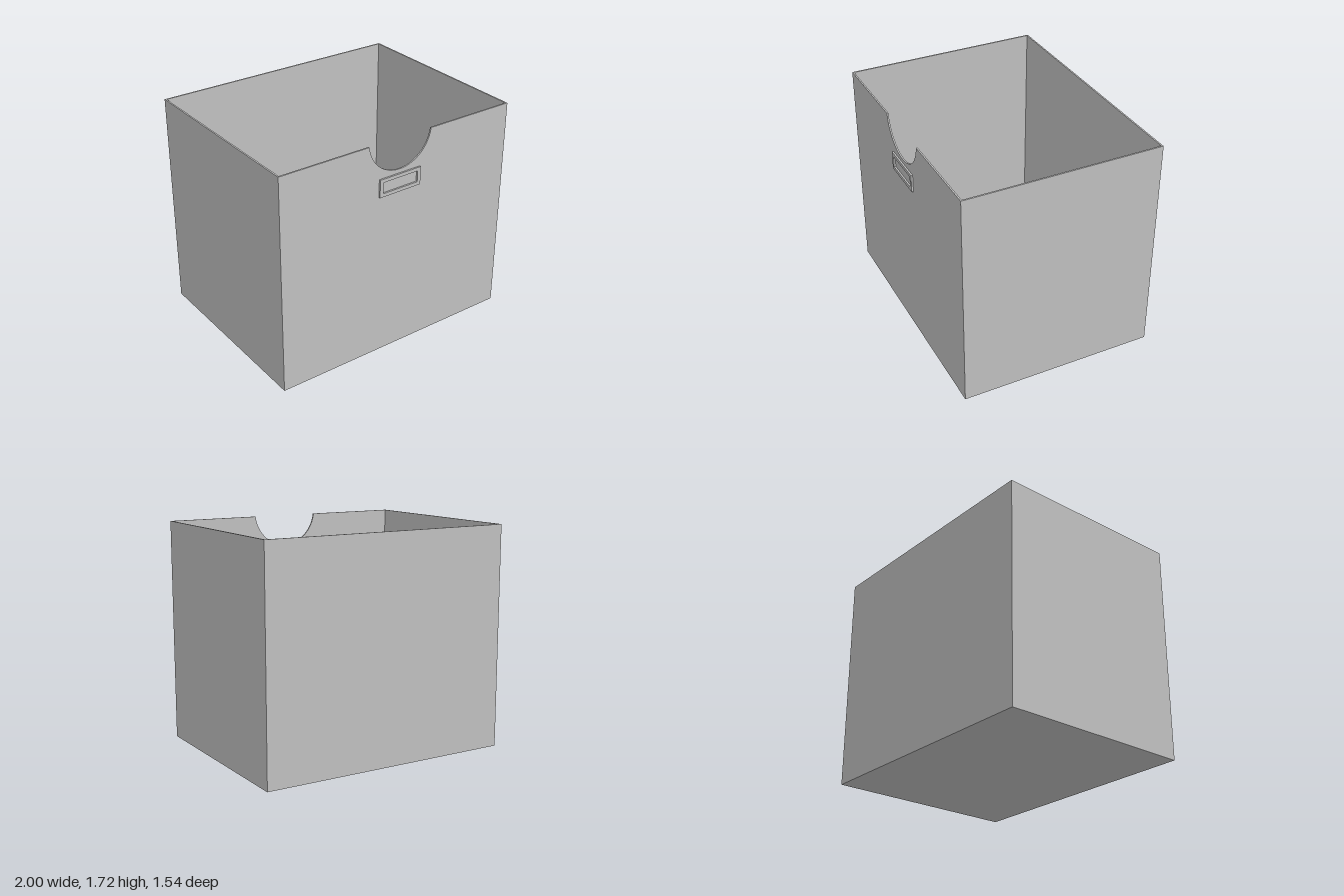
import * as THREE from 'three';

export function createModel() {
  const model = new THREE.Group();
  model.name = 'storageBox';
  const grey = new THREE.MeshStandardMaterial({ color: 0xc0c0c0 });
  grey.name = 'grey';

  const H = 1.72, T = 0.012, FRONT = 0.76, BACK = -0.768;
  const depth = FRONT - BACK, midZ = (FRONT + BACK) / 2;

  const add = (name, geometry, x, y, z) => {
    const mesh = new THREE.Mesh(geometry, grey);
    mesh.name = name;
    mesh.position.set(x, y, z);
    model.add(mesh);
  };
  const panel = (name, w, h, d, x, y, z) =>
    add(name, new THREE.BoxGeometry(w, h, d), x, y, z);

  // Floor, back and side walls
  panel('floor', 2 - 2 * T, T, depth - 2 * T, 0, T / 2, midZ);
  panel('backWall', 2, H, T, 0, H / 2, BACK + T / 2);
  for (const [name, s] of [['leftWall', 1], ['rightWall', -1]]) {
    panel(name, T, H, depth - 2 * T, s * (1 - T / 2), H / 2, midZ);
  }

  // Front wall with a round hand cut-out in its top edge
  const r = 0.272, cy = 1.752;
  const a = Math.asin((cy - H) / r);
  const wall = new THREE.Shape();
  wall.moveTo(-1, 0);
  wall.lineTo(1, 0);
  wall.lineTo(1, H);
  wall.lineTo(r * Math.cos(a), H);
  wall.absarc(0, cy, r, -a, -Math.PI + a, true);
  wall.lineTo(-1, H);
  wall.closePath();
  add('frontWall', new THREE.ExtrudeGeometry(wall, { depth: T, bevelEnabled: false, curveSegments: 40 }),
    0, 0, FRONT - T);

  // Label holder: a raised frame with an open window
  const rect = (path, w, h) => {
    path.moveTo(-w, -h);
    path.lineTo(w, -h);
    path.lineTo(w, h);
    path.lineTo(-w, h);
    path.closePath();
    return path;
  };
  const frame = rect(new THREE.Shape(), 0.18, 0.07);
  frame.holes.push(rect(new THREE.Path(), 0.152, 0.043));
  add('labelFrame', new THREE.ExtrudeGeometry(frame, { depth: 0.013, bevelEnabled: false }),
    0, 1.379, FRONT);

  return model;
}
